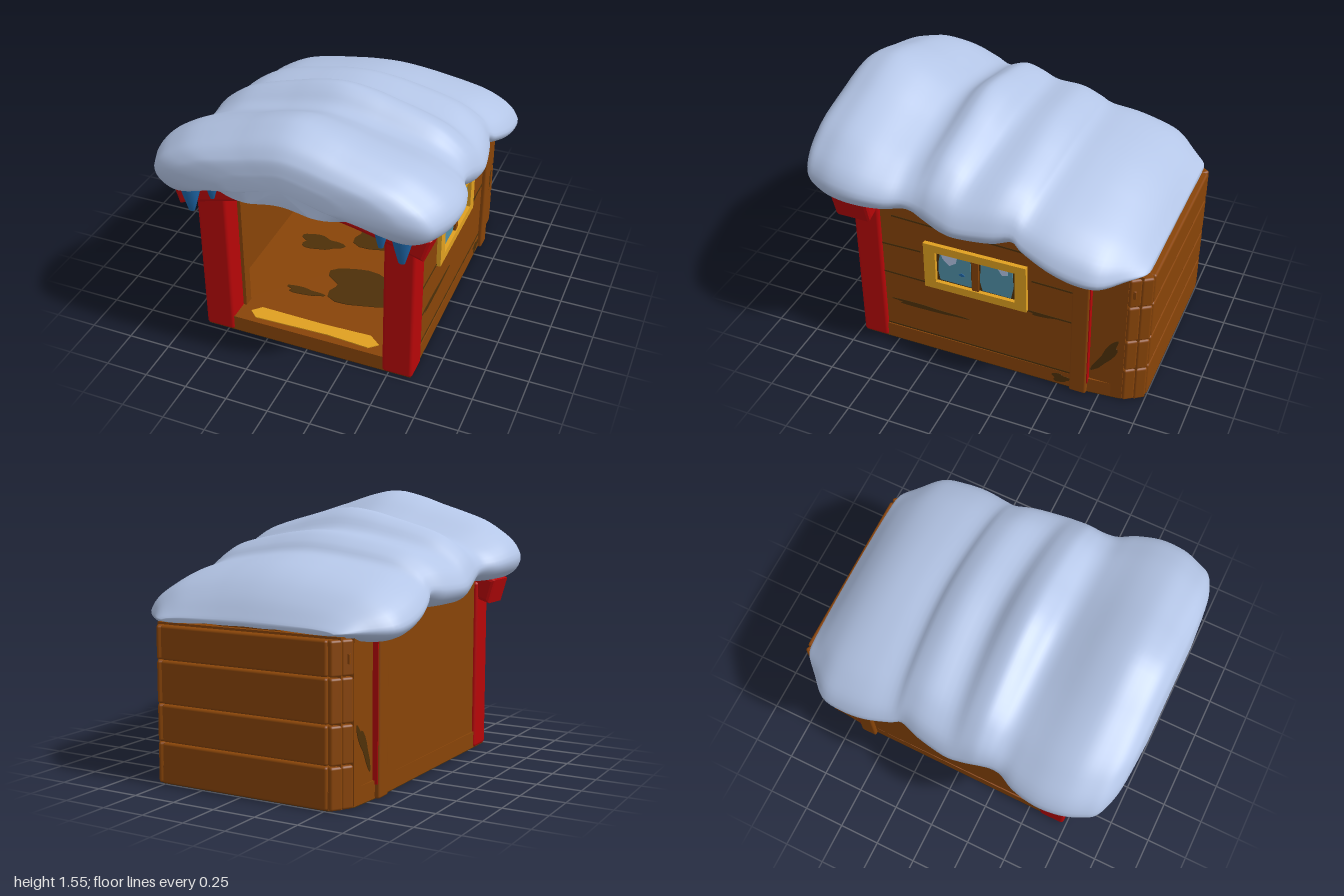
import * as THREE from 'three';
import { RoundedBoxGeometry } from 'three/addons/geometries/RoundedBoxGeometry.js';

const mat = (name, color) => Object.assign(new THREE.MeshStandardMaterial({ color }), { name });

export function createModel() {
  const wood = mat('wood', 0x884408);
  const dark = mat('dark wood', 0x4e3008);
  const red = mat('red paint', 0xb60608);
  const snow = mat('snow', 0xbaccee);
  const ice = mat('ice', 0x1e68aa);
  const yellow = mat('yellow paint', 0xe0a020);
  const glass = mat('glass', 0x5090a8);

  const house = new THREE.Group();
  house.name = 'snowyCabin';
  const add = (name, geo, m, x = 0, y = 0, z = 0) => {
    const mesh = new THREE.Mesh(geo, m);
    mesh.name = name;
    mesh.position.set(x, y, z);
    house.add(mesh);
    return mesh;
  };
  // Box given by its extents on each axis, optionally with rounded edges
  const box = (name, m, [x0, x1], [y0, y1], [z0, z1], r = 0) => {
    const s = [x1 - x0, y1 - y0, z1 - z0];
    const geo = r ? new RoundedBoxGeometry(...s, 2, r) : new THREE.BoxGeometry(...s);
    return add(name, geo, m, (x0 + x1) / 2, (y0 + y1) / 2, (z0 + z1) / 2);
  };
  const shape = pts => new THREE.Shape(pts.map(p => new THREE.Vector2(...p)));
  const extrude = (s, depth) => new THREE.ExtrudeGeometry(s, { depth, bevelEnabled: false, curveSegments: 16 });
  // Horizontal plate from an outline in x and -z
  const slab = (name, pts, depth, m, y) => {
    const geo = extrude(shape(pts), depth);
    geo.rotateX(-Math.PI / 2);
    add(name, geo, m, 0, y, 0);
  };

  // Floor slab with narrowed back corners and a dark underside
  const plan = [[-0.63, -0.72], [0.63, -0.72], [0.62, 0.65], [0.6, 0.87], [0.52, 0.99],
    [-0.52, 0.99], [-0.6, 0.87], [-0.62, 0.65]];
  slab('underside', plan, 0.004, dark, 0);
  slab('floor', plan, 0.096, wood, 0.004);
  // Worn painted stripe on the sill
  slab('sillStripe', [[-0.39, -0.64], [-0.34, -0.685], [0.1, -0.67], [0.36, -0.685], [0.41, -0.64],
    [0.34, -0.585], [0.05, -0.595], [-0.34, -0.59]], 0.006, yellow, 0.1);

  // Thin irregular stain, lying in its local xy plane
  const stain = (name, rx, ry) => add(name, extrude(shape(Array.from({ length: 28 }, (_, i) => {
    const a = i / 28 * Math.PI * 2, k = 1 + 0.2 * Math.sin(a * 3 + 1) + 0.1 * Math.sin(a * 5);
    return [Math.cos(a) * rx * k, Math.sin(a) * ry * k];
  })), 0.004), dark);
  for (const [x, z, rx, rz] of [[0.18, 0.2, 0.28, 0.16], [-0.18, 0.36, 0.11, 0.03], [-0.28, -0.12, 0.13, 0.07],
    [0.1, -0.35, 0.25, 0.16]]) {
    const s = stain('floorStain', rx, rz);
    s.rotation.x = -Math.PI / 2;
    s.position.set(x, 0.1, z);
  }

  // Side walls, posts and back corners
  const wall = extrude(shape([[0.62, 0.004], [0.62, 1.12], [-0.66, 0.92], [-0.66, 0.004]]), 0.04);
  wall.rotateY(-Math.PI / 2);
  for (const s of [1, -1]) {
    const side = s > 0 ? 'left' : 'right';
    const span = (a, b) => (s > 0 ? [a, b] : [-b, -a]);
    add(side + 'Wall', wall, wood, s > 0 ? 0.62 : -0.58);
    box(side + 'FrontPost', red, span(0.46, 0.64), [0.003, 1.02], [0.57, 0.73], 0.02);
    box(side + 'InnerPost', wood, span(0.44, 0.6), [0.01, 1.02], [0.54, 0.6]);
    box(side + 'InnerBackPost', wood, span(0.53, 0.6), [0.01, 0.92], [-0.68, -0.58]);
    box(side + 'BackPost', wood, span(0.56, 0.645), [0.002, 0.9], [-0.68, -0.58], 0.012);
    box(side + 'RedStrip', red, span(0.56, 0.636), [0.08, 0.86], [-0.685, -0.675]);
    box(side + 'CornerPanel', wood, span(0.56, 0.605), [0.01, 0.88], [-0.88, -0.68]);
    const streak = stain(side + 'CornerStain', 0.028, 0.14);
    streak.rotation.set(0, s * Math.PI / 2, s * -0.5, 'YXZ');
    streak.position.set(s * 0.604, 0.3, -0.78);
  }

  // Board lines and stains on the window wall
  for (const [y, z0, z1, tilt] of [[0.108, -0.58, 0.57, 0.004], [0.49, -0.58, 0.57, -0.008],
    [0.7, 0.33, 0.57, 0.02], [0.7, -0.58, -0.34, -0.02], [0.89, -0.58, 0.5, -0.03]]) {
    box('wallGroove', dark, [0.618, 0.623], [y - 0.005, y + 0.005], [z0, z1]).rotation.x = tilt;
  }
  for (const [y, z, rz, ry] of [[0.295, 0.31, 0.22, 0.015], [0.05, 0.5, 0.06, 0.035], [0.05, -0.52, 0.05, 0.03],
    [0.48, -0.4, 0.07, 0.012]]) {
    const st = stain('wallStain', rz, ry);
    st.rotation.y = Math.PI / 2;
    st.position.set(0.619, y, z);
  }

  // Back wall made of planks with stacked plank ends at the corners
  box('backInnerWall', wood, [-0.57, 0.57], [0.004, 0.88], [-0.95, -0.9]);
  const rows = [0, 0.23, 0.44, 0.68, 0.87];
  for (let i = 0; i < 4; i++) {
    const y = [rows[i] + 0.002, rows[i + 1] - 0.002];
    box('backPlank', wood, [-0.515, 0.515], y, [-1, -0.94], 0.014);
    for (const s of [1, -1]) {
      for (const [x, z] of [[0.525, -0.95], [0.558, -0.895]]) {
        const e = box('plankEnd', wood, [s * x - 0.04, s * x + 0.04], y, [z - 0.035, z + 0.035], 0.014);
        e.rotation.y = s * 0.6;
      }
    }
  }
  for (const [y, x0, x1] of [[0.69, -0.44, 0.15], [0.8, -0.5, 0.5]]) {
    box('innerGroove', dark, [x0, x1], [y - 0.004, y + 0.004], [-0.902, -0.896]);
  }
  stain('innerWallStain', 0.03, 0.06).position.set(-0.11, 0.71, -0.9);
  box('ceilingBeam', wood, [-0.58, 0.58], [0.81, 0.88], [-0.86, -0.78]);

  // Curved roof deck sloping down to the back
  const deck = new THREE.Shape();
  deck.moveTo(-0.6, -0.05);
  deck.quadraticCurveTo(0, 0.15, 0.6, -0.05);
  deck.lineTo(0.6, 0);
  deck.quadraticCurveTo(0, 0.2, -0.6, 0);
  const roof = extrude(deck, 1.6);
  roof.translate(0, 0.945, -0.92);
  const rp = roof.attributes.position;
  for (let i = 0; i < rp.count; i++) rp.setY(i, rp.getY(i) + 0.165 * rp.getZ(i));
  roof.computeVertexNormals();
  add('roofDeck', roof, wood);

  // Arched red beam over the entrance
  const arch = new THREE.Shape();
  arch.moveTo(-0.69, 0.915);
  arch.quadraticCurveTo(-0.25, 1.06, 0, 1.06);
  arch.quadraticCurveTo(0.25, 1.06, 0.69, 0.915);
  arch.lineTo(0.72, 1.02);
  arch.quadraticCurveTo(0.25, 1.22, 0, 1.22);
  arch.quadraticCurveTo(-0.25, 1.22, -0.72, 1.02);
  add('entranceBeam', new THREE.ExtrudeGeometry(arch, {
    depth: 0.18, bevelSize: 0.02, bevelThickness: 0.02, bevelSegments: 2, curveSegments: 12,
  }), red, 0, 0, 0.605);

  // Window on the left wall
  const frame = shape([[-0.32, 0.49], [0.3, 0.485], [0.3, 0.79], [-0.315, 0.795]]);
  frame.holes.push(new THREE.Path([[-0.25, 0.54], [-0.25, 0.745], [0.23, 0.74], [0.23, 0.535]]
    .map(p => new THREE.Vector2(...p))));
  const frameGeo = extrude(frame, 0.03);
  frameGeo.rotateY(-Math.PI / 2);
  add('windowFrame', frameGeo, yellow, 0.645);
  box('windowBacking', dark, [0.619, 0.622], [0.53, 0.75], [-0.26, 0.24]);
  box('windowBar', wood, [0.62, 0.638], [0.53, 0.75], [-0.03, 0.01]);
  // Flat pieces facing +x, drawn in z and y
  const plate = (name, pts, m, x) => {
    const geo = extrude(shape(pts), 0.003);
    geo.rotateY(-Math.PI / 2);
    add(name, geo, m, x);
  };
  plate('frontPane', [[0.02, 0.545], [0.21, 0.545], [0.22, 0.6], [0.215, 0.68], [0.205, 0.735], [0.02, 0.735]], glass, 0.626);
  plate('rearPane', [[-0.22, 0.545], [-0.05, 0.545], [-0.035, 0.6], [-0.04, 0.725], [-0.23, 0.735], [-0.235, 0.62]], glass, 0.626);
  plate('frontShine', [[0.11, 0.69], [0.15, 0.66], [0.19, 0.7], [0.2, 0.735], [0.1, 0.735]], snow, 0.629);
  plate('rearShine', [[-0.2, 0.7], [-0.17, 0.69], [-0.145, 0.73], [-0.2, 0.733]], snow, 0.629);
  plate('paneSpot', [[0.055, 0.615], [0.075, 0.605], [0.095, 0.615], [0.075, 0.63]], ice, 0.629);

  // Icicles: x, top, tip, radius, z
  for (const [x, top, tip, r, z] of [[-0.58, 1.13, 0.93, 0.06, 0.88], [-0.45, 1.18, 1.04, 0.042, 0.88],
    [0.49, 1.16, 0.96, 0.048, 0.85], [0.6, 1.11, 0.88, 0.062, 0.835]]) {
    const h = top - tip;
    const pts = [[0, 0], [0.3, 0.03], [0.65, 0.38], [1, 0.75], [0.95, 1], [0, 1]];
    add('icicle', new THREE.LatheGeometry(pts.map(([a, b]) => new THREE.Vector2(a * r, b * h)), 10),
      ice, x, tip, z).scale.z = 0.75;
  }

  // Snow blanket: one cross-section lofted from front to back
  const half = [[0.2, 0.94], [0.37, 0.85], [0.54, 0.765], [0.71, 0.67], [0.83, 0.56], [0.94, 0.42], [1, 0.25],
    [0.97, 0.1], [0.89, 0.01], [0.8, 0], [0.68, 0.07], [0.52, 0.18], [0.41, 0.28], [0.23, 0.23]];
  const loop = [[0, 1], ...half, [0, 0.31], ...half.map(([u, v]) => [-u, v]).reverse()];
  const section = new THREE.CatmullRomCurve3(loop.map(([u, v]) => new THREE.Vector3(u, v, 0)), true, 'catmullrom')
    .getPoints(90).slice(0, 90);
  // z, half width, bottom, top
  const rings = [[1, 0.3, 1.21, 1.35], [0.985, 0.53, 1.165, 1.42], [0.965, 0.65, 1.125, 1.455], [0.92, 0.755, 1.075, 1.5],
    [0.85, 0.8, 1.05, 1.53], [0.74, 0.84, 1.04, 1.55], [0.6, 0.85, 1.04, 1.51], [0.46, 0.82, 1.04, 1.435],
    [0.37, 0.775, 1.045, 1.395], [0.3, 0.765, 1.035, 1.4], [0.23, 0.77, 1.0, 1.445], [0.16, 0.78, 0.975, 1.465],
    [0.07, 0.79, 0.95, 1.425], [-0.03, 0.795, 0.95, 1.345], [-0.2, 0.765, 0.95, 1.35], [-0.31, 0.73, 0.975, 1.3],
    [-0.38, 0.75, 0.94, 1.24], [-0.52, 0.785, 0.885, 1.22], [-0.66, 0.79, 0.845, 1.185], [-0.78, 0.765, 0.84, 1.125],
    [-0.88, 0.66, 0.86, 1.04], [-0.95, 0.58, 0.88, 0.95], [-0.97, 0.53, 0.885, 0.92]];
  const spine = f => new THREE.CatmullRomCurve3(rings.map(f), false, 'catmullrom');
  const lower = spine(([z, w, b]) => new THREE.Vector3(z, w, b));
  const upper = spine(([, , , t]) => new THREE.Vector3(t, 0, 0));
  const N = 88, M = section.length, pos = [], idx = [];
  for (let i = 0; i <= N; i++) {
    const { x: z, y: w, z: b } = lower.getPoint(i / N);
    const t = upper.getPoint(i / N).x;
    // Shoulders fill out and creases bow forward away from the front roll
    const fill = 0.8 * THREE.MathUtils.smoothstep(-z, -0.6, 0.2);
    const bow = 0.06 * THREE.MathUtils.smoothstep(-z, -0.4, 0) * Math.max(0, 1 - z * z);
    for (const { x: u, y: v } of section) {
      const full = v + fill * Math.max(0, (1 - v) * (v - 0.3));
      const y = b + full * (t - b);
      // Scalloped lip keeps the underside low over the beam
      const lip = Math.abs(u) < 0.6 && v < 0.35 ? 1.17 + 0.015 * Math.cos(u * w * 14) : y;
      pos.push(u * w, Math.min(y, lip), z + bow * u * u);
    }
  }
  for (let i = 0; i < N; i++) for (let j = 0; j < M; j++) {
    const a = i * M + j, b = i * M + (j + 1) % M;
    idx.push(a, b, a + M, b, b + M, a + M);
  }
  pos.push(0, 1.28, 1.0, 0, 0.91, -0.97);
  const front = (N + 1) * M, last = N * M;
  for (let j = 0; j < M; j++) {
    const k = (j + 1) % M;
    idx.push(front, k, j, front + 1, last + j, last + k);
  }
  const snowGeo = new THREE.BufferGeometry();
  snowGeo.setAttribute('position', new THREE.Float32BufferAttribute(pos, 3));
  snowGeo.setIndex(idx);
  snowGeo.computeVertexNormals();
  add('snowBlanket', snowGeo, snow);

  return house;
}
